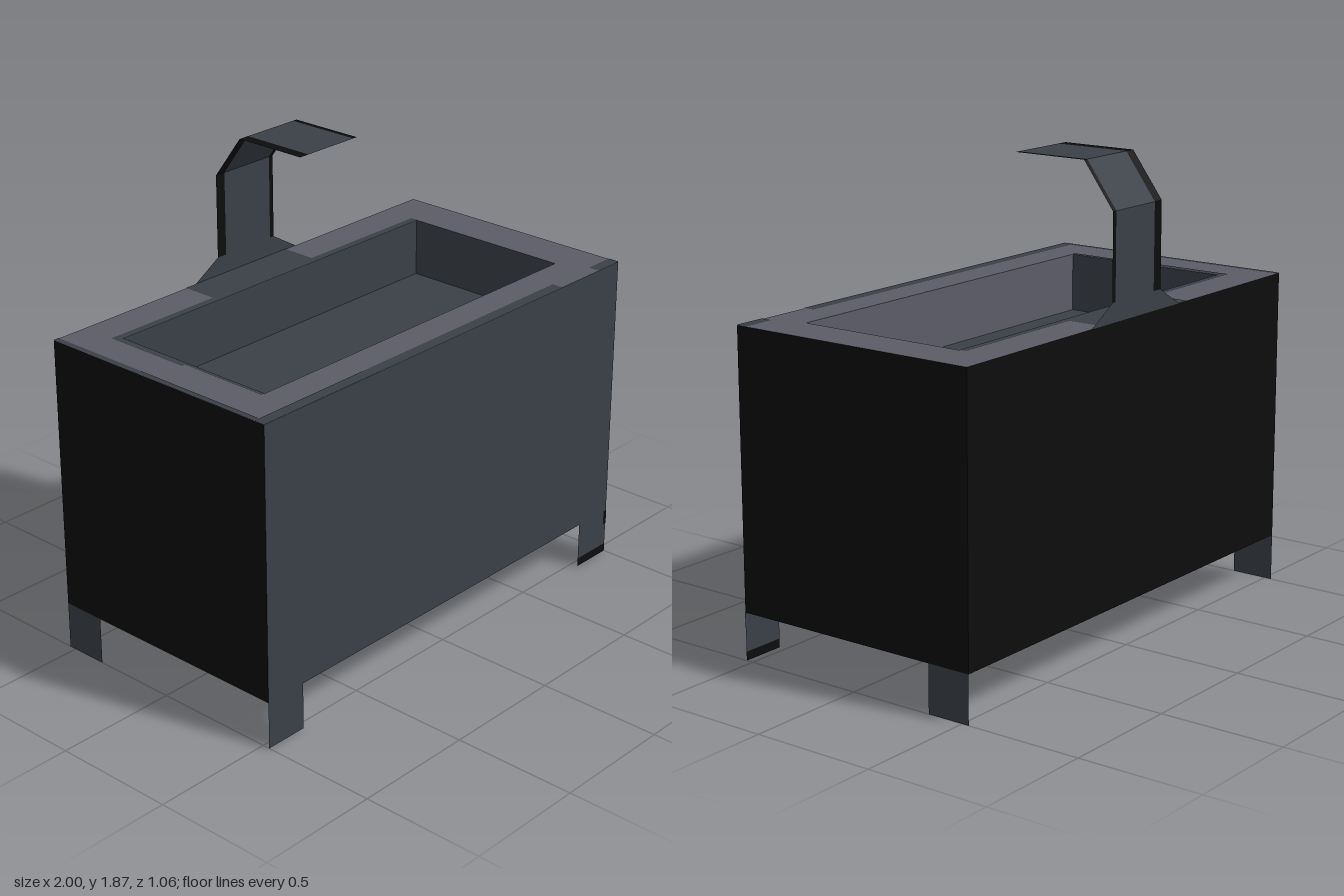
import * as THREE from 'three';

const paint = (name, color) => {
  const m = new THREE.MeshStandardMaterial({ color, side: THREE.DoubleSide });
  m.name = name;
  return m;
};

export function createModel() {
  const slate = paint('slate grey', 0x3a4047);
  const stone = paint('stone grey', 0x5b5c67);
  const black = paint('black', 0x0d0d0d);

  const root = new THREE.Group();
  root.name = 'sink';

  const group = (name) => {
    const g = new THREE.Group();
    g.name = name;
    root.add(g);
    return g;
  };
  const add = (parent, name, geometry, material) => {
    const mesh = new THREE.Mesh(geometry, material);
    mesh.name = name;
    parent.add(mesh);
    return mesh;
  };

  // Flat sheets facing along x, y or z
  const sheetX = (parent, name, mat, x, z0, z1, y0, y1, dir = 1) => add(parent, name,
    new THREE.PlaneGeometry(z1 - z0, y1 - y0).rotateY(dir * Math.PI / 2)
      .translate(x, (y0 + y1) / 2, (z0 + z1) / 2), mat);
  const sheetY = (parent, name, mat, y, x0, x1, z0, z1) => add(parent, name,
    new THREE.PlaneGeometry(x1 - x0, z1 - z0).rotateX(-Math.PI / 2)
      .translate((x0 + x1) / 2, y, (z0 + z1) / 2), mat);
  const sheetZ = (parent, name, mat, z, x0, x1, y0, y1, dir = 1) => add(parent, name,
    new THREE.PlaneGeometry(x1 - x0, y1 - y0).rotateY(dir > 0 ? 0 : Math.PI)
      .translate((x0 + x1) / 2, (y0 + y1) / 2, z), mat);

  const D = 0.53, BOTTOM = 0.19, TOP = 1.285, FLOOR = 1.05;
  const IX = 0.82, IZ = 0.357;

  // Cabinet, open underneath
  const cabinet = group('cabinet');
  sheetZ(cabinet, 'frontPanel', slate, D, -1, 1, BOTTOM, TOP);
  sheetZ(cabinet, 'backPanel', black, -D, -1, 1, BOTTOM, TOP, -1);
  for (const s of [-1, 1]) sheetX(cabinet, 'sidePanel', black, s, -D, D, BOTTOM, TOP, s);

  // Legs: front ones face forward, back ones face sideways
  const legs = group('legs');
  sheetZ(legs, 'frontLeg', slate, D, -1, -IX, 0, BOTTOM);
  sheetZ(legs, 'frontLeg', slate, D, IX, 1, 0.035, BOTTOM);
  sheetZ(legs, 'frontLegFoot', black, D, IX, 1, 0, 0.035);
  sheetZ(legs, 'frontLegMark', black, D + 0.002, 0.982, 1, 0.13, BOTTOM);
  for (const s of [-1, 1]) sheetX(legs, 'backLeg', slate, s, -D, -0.35, 0, BOTTOM, s);

  // Rim around the basin
  const rim = group('rim');
  sheetY(rim, 'rimBack', stone, TOP, -1, 1, -D, -IZ);
  sheetY(rim, 'rimFront', stone, TOP, -1, 1, IZ, D);
  for (const s of [-1, 1]) {
    sheetY(rim, 'rimSide', stone, TOP, Math.min(s, s * IX), Math.max(s, s * IX), -IZ, IZ);
  }

  // Worn dark bands on the rim: x0, x1, z0, z1
  const bands = [
    [-0.33, 0.22, -D, -IZ],
    [-0.85, -0.33, -0.385, -IZ],
    [0.22, IX, -0.385, -IZ],
    [-0.85, -IX, -IZ, -0.02],
    [-0.835, -IX, -0.02, IZ],
    [-1, -0.977, -D, 0.48],
    [-1, 0.64, 0.485, D],
    [0.87, 1, 0.485, D],
  ];
  for (const b of bands) sheetY(rim, 'rimBand', slate, TOP + 0.002, ...b);

  // Basin
  const basin = group('basin');
  sheetY(basin, 'basinFloor', slate, FLOOR, -IX, IX, -IZ, IZ);
  sheetZ(basin, 'basinBack', slate, -IZ, -IX, IX, FLOOR, TOP);
  sheetZ(basin, 'basinFront', stone, IZ, -IX, IX, FLOOR, TOP, -1);
  for (const s of [-1, 1]) sheetX(basin, 'basinSide', slate, s * IX, -IZ, IZ, FLOOR, TOP, -s);
  sheetY(basin, 'drain', black, FLOOR + 0.003, -0.057, 0.03, 0.07, 0.113);

  // Tap: flared foot and a folded ribbon with dark edges
  const tap = group('tap');
  const foot = new THREE.Shape([[-0.28, TOP], [0.28, TOP], [0.155, 1.36], [-0.155, 1.36]]
    .map(([x, y]) => new THREE.Vector2(x, y)));
  add(tap, 'tapFoot', new THREE.ShapeGeometry(foot).translate(0, 0, -D), slate);

  const folds = [[1.36, -D], [1.695, -D], [1.87, -0.4], [1.87, -0.09]]; // y, z
  const strips = [[-0.155, -0.11, black], [-0.11, 0.135, slate], [0.135, 0.155, black]];
  const names = ['tapStem', 'tapBend', 'tapSpout'];
  names.forEach((name, i) => {
    const [y0, z0] = folds[i], [y1, z1] = folds[i + 1];
    const length = Math.hypot(y1 - y0, z1 - z0);
    for (const [x0, x1, mat] of strips) {
      add(tap, name, new THREE.PlaneGeometry(x1 - x0, length)
        .rotateY(Math.PI)
        .rotateX(Math.atan2(z1 - z0, y1 - y0))
        .translate((x0 + x1) / 2, (y0 + y1) / 2, (z0 + z1) / 2), mat);
    }
  });

  return root;
}
